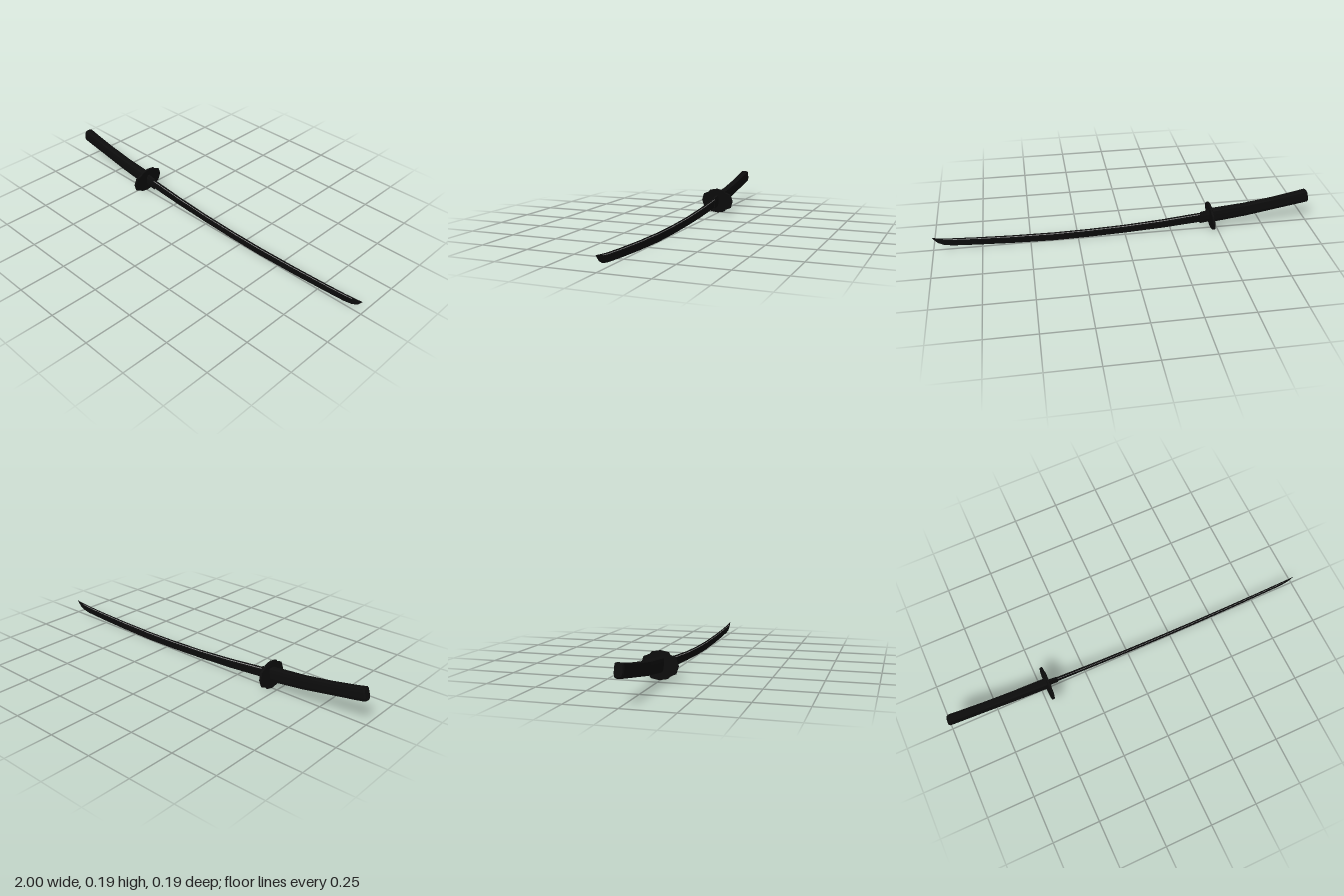
import * as THREE from 'three';

const dark = new THREE.MeshStandardMaterial({ color: 0x0c0c0c, flatShading: true });
const pale = new THREE.MeshStandardMaterial({ color: 0x9a9a9a, flatShading: true });

// Skins a row of rings (each a list of [x, y, z], turning from +y towards +z) and closes both ends.
function loft(name, rings, material) {
  const pos = [];
  const tri = (a, b, c) => pos.push(...a, ...b, ...c);
  const n = rings[0].length;
  for (let i = 0; i < rings.length - 1; i++) {
    for (let j = 0; j < n; j++) {
      const k = (j + 1) % n;
      tri(rings[i][j], rings[i][k], rings[i + 1][k]);
      tri(rings[i][j], rings[i + 1][k], rings[i + 1][j]);
    }
  }
  const first = rings[0], last = rings[rings.length - 1];
  for (let j = 1; j < n - 1; j++) {
    tri(first[0], first[j + 1], first[j]);
    tri(last[0], last[j], last[j + 1]);
  }
  const geo = new THREE.BufferGeometry();
  geo.setAttribute('position', new THREE.Float32BufferAttribute(pos, 3));
  geo.computeVertexNormals();
  const mesh = new THREE.Mesh(geo, material);
  mesh.name = name;
  return mesh;
}

// Ring from a [height, depth] section between a lower and an upper y; lean shifts the top in x.
const ring = (section, x, y0, y1, w, lean = 0) =>
  section.map(([h, d]) => [x + lean * (h - 0.5), y0 + (y1 - y0) * h, d * w]);

// Mirrors one side of a section (top to bottom) to the other side.
const mirrored = (half) => [
  ...half,
  ...half.slice().reverse().filter(([, d]) => d > 0).map(([h, d]) => [h, -d]),
];

export function createModel() {
  const model = new THREE.Group();
  model.name = 'curvedSword';

  // Handle: softened rectangular grip, gently curved
  const gripSection = mirrored([[1, 0.45], [0.95, 0.9], [0.7, 1], [0.3, 1], [0.06, 0.8], [0, 0.35]]);
  const grip = [
    [-0.992, 0.134, 0.188, 0.018],
    [-0.984, 0.126, 0.192, 0.0225],
    [-0.94, 0.118, 0.182, 0.0222],
    [-0.8, 0.094, 0.156, 0.021],
    [-0.65, 0.068, 0.134, 0.021],
    [-0.47, 0.046, 0.117, 0.0225],
  ].map(([x, a, b, w]) => ring(gripSection, x, a, b, w, 0.014));
  model.add(loft('handle', grip, dark));

  // Guard: lobed plate set square to the handle
  const quarter = [[0.093, 0], [0.081, 0.039], [0.049, 0.052], [0.042, 0.063], [0, 0.071]];
  const outline = [
    ...quarter,
    ...quarter.slice(0, 4).reverse().map(([z, y]) => [-z, y]),
    ...quarter.slice(1).map(([z, y]) => [-z, -y]),
    ...quarter.slice(1, 4).reverse().map(([z, y]) => [z, -y]),
  ].reverse();
  const plate = [[-0.006, 0.96], [-0.004, 1], [0.004, 1], [0.006, 0.96]]
    .map(([x, s]) => outline.map(([z, y]) => [x, y * s, z * s]));
  const guard = loft('guard', plate, dark);
  guard.position.set(-0.462, 0.079, 0);
  guard.rotation.z = -0.11;
  model.add(guard);

  // Collar at the root of the blade
  const collarSection = mirrored([[1, 0.6], [0.7, 1], [0.3, 0.8], [0, 0.3]]);
  model.add(loft('collar', [
    ring(collarSection, -0.465, 0.046, 0.113, 0.011),
    ring(collarSection, -0.405, 0.038, 0.103, 0.008),
  ], dark));

  // Blade: spine above, ridge on each flank, cutting edge below
  const bladeSection = mirrored([[1, 0], [0.96, 0.75], [0.65, 1], [0, 0]]);
  const stations = [
    [-0.45, 0.048, 0.106, 0.0055],
    [-0.2, 0.027, 0.080, 0.0052],
    [0, 0.016, 0.065, 0.005],
    [0.2, 0.008, 0.057, 0.0048],
    [0.38, 0.005, 0.054, 0.0046],
    [0.6, 0.010, 0.057, 0.0043],
    [0.78, 0.018, 0.063, 0.004],
    [0.9, 0.025, 0.069, 0.0036],
    [0.945, 0.033, 0.073, 0.003],
    [0.975, 0.048, 0.076, 0.002],
    [1, 0.078, 0.08, 0.0004],
  ];
  model.add(loft('blade', stations.map(([x, a, b, w]) => ring(bladeSection, x, a, b, w)), dark));

  // Bright line below the spine on both flanks
  for (const side of [1, -1]) {
    const strip = [[0.9, 0.7], [0.9, 0.9], [0.82, 0.95], [0.82, 0.7]].map(([h, d]) => [h, d * side]);
    if (side < 0) strip.reverse();
    const rings = stations.slice(1, 9).map(([x, a, b, w]) => ring(strip, x, a, b, w));
    const [x, a, b, w] = stations[0];
    rings.unshift(ring(strip, x, a, b, w));
    model.add(loft(side > 0 ? 'frontBladeLine' : 'backBladeLine', rings, pale));
  }
  return model;
}
